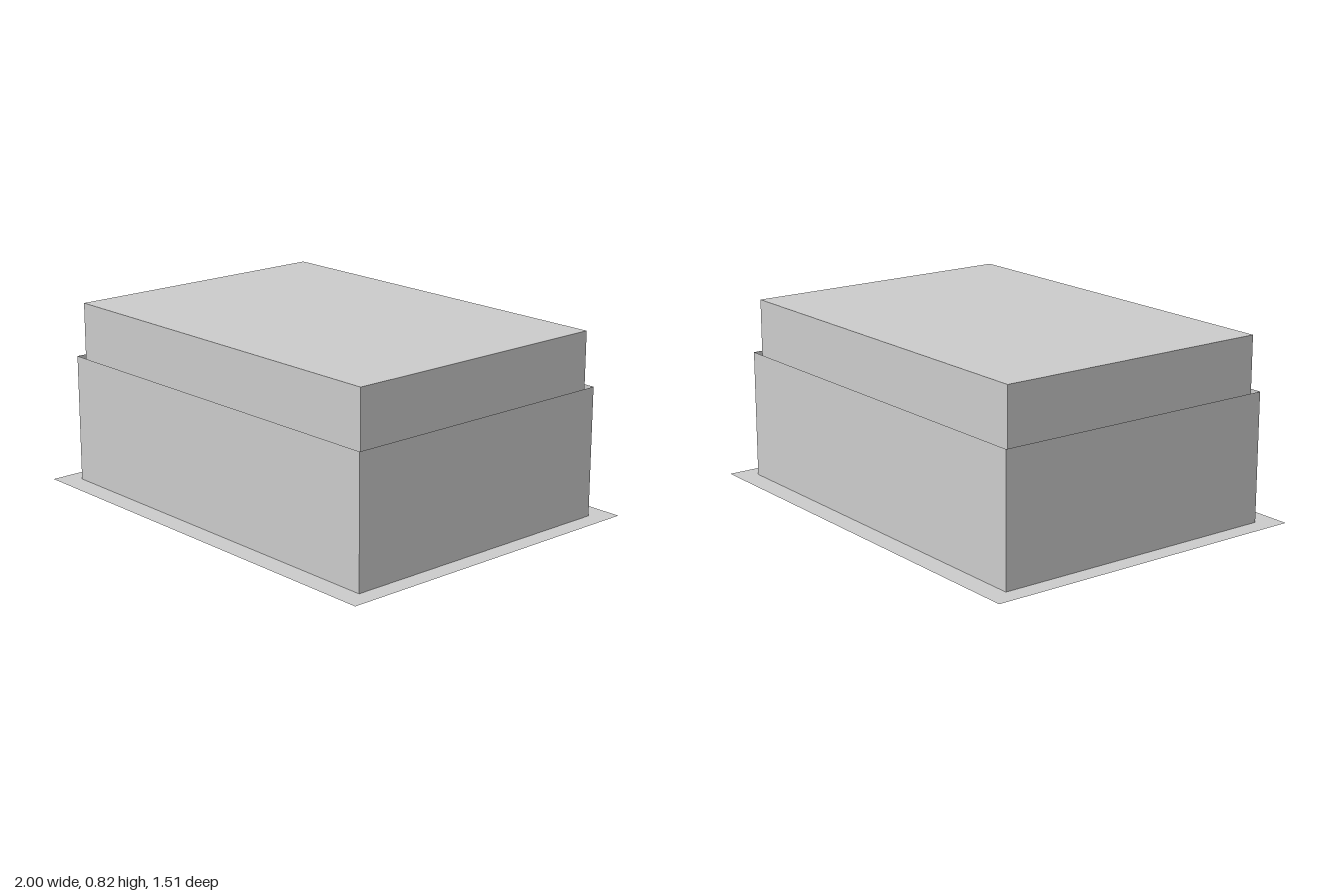
import * as THREE from 'three';

const material = new THREE.MeshStandardMaterial({ color: 0xcccccc, side: THREE.DoubleSide, flatShading: true });
const WALL = { x: 0.917, z: 0.661, bottom: 0.012, top: 0.582 };

// Rectangle outline centred on the origin
function rectangle(Type, hx, hz) {
  return new Type([[-hx, -hz], [hx, -hz], [hx, hz], [-hx, hz]].map(([x, z]) => new THREE.Vector2(x, z)));
}

export function createModel() {
  const group = new THREE.Group();
  const add = (name, geometry, x, y, z) => {
    const mesh = new THREE.Mesh(geometry, material);
    mesh.name = name;
    mesh.position.set(x, y, z);
    group.add(mesh);
    return mesh;
  };

  // Closed inner block, standing loose inside the sleeve
  const height = 0.822;
  add('innerBlock', new THREE.BoxGeometry(1.782, height, 1.268), 0, height / 2, 0);

  // Thin open sleeve of four walls
  const wallHeight = WALL.top - WALL.bottom;
  const wallY = (WALL.top + WALL.bottom) / 2;
  for (const side of [1, -1]) {
    const turn = side > 0 ? 0 : Math.PI;
    add(side > 0 ? 'frontWall' : 'backWall',
      new THREE.PlaneGeometry(2 * WALL.x, wallHeight), 0, wallY, side * WALL.z).rotation.y = turn;
    add(side > 0 ? 'leftWall' : 'rightWall',
      new THREE.PlaneGeometry(2 * WALL.z, wallHeight), side * WALL.x, wallY, 0).rotation.y = side * Math.PI / 2;
  }

  // Flat flange around the foot of the sleeve
  const flange = rectangle(THREE.Shape, 1, 0.757);
  flange.holes.push(rectangle(THREE.Path, WALL.x, WALL.z));
  add('flange', new THREE.ShapeGeometry(flange), 0, WALL.bottom, 0).rotation.x = -Math.PI / 2;

  return group;
}
